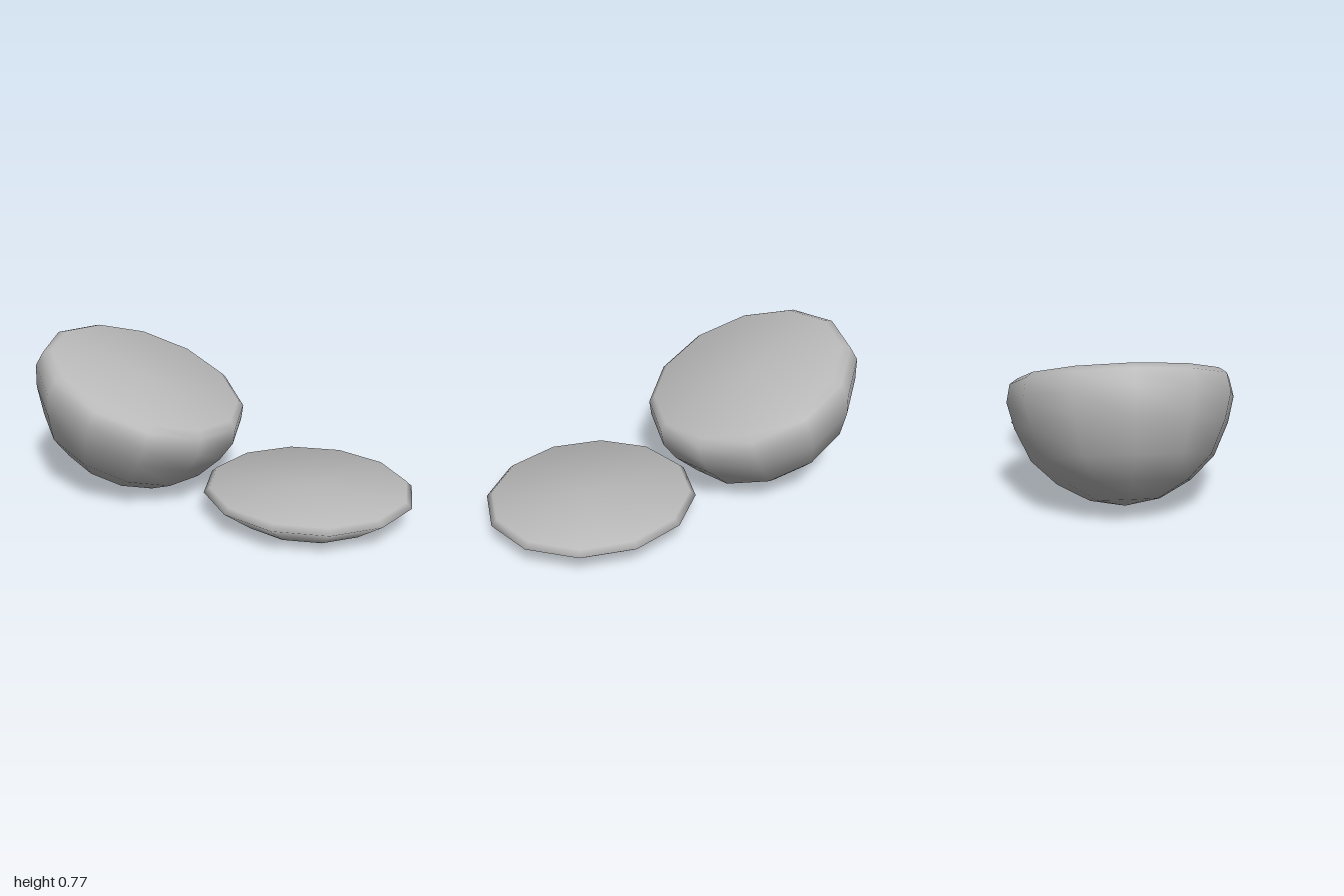
import * as THREE from 'three';

const SIDES = 12;
const DEPTH = 0.943; // both bodies are slightly narrower along z

// Closed turned body, with soft normals that roll evenly over the rim.
// Profile runs from bottom centre to top centre.
function turned(profile) {
  const pts = profile.map(([r, y]) => new THREE.Vector2(r, y));
  const n = pts.length;
  const seg = [];
  for (let j = 0; j < n - 1; j++) {
    const d = pts[j + 1].clone().sub(pts[j]).normalize();
    seg.push(new THREE.Vector2(d.y, -d.x));
  }
  const soft = pts.map((p, j) => {
    if (j === 0) return new THREE.Vector2(0, -1);
    if (j === n - 1) return new THREE.Vector2(0, 1);
    return seg[j - 1].clone().add(seg[j]).normalize();
  });
  const geo = new THREE.LatheGeometry(pts, SIDES);
  const normal = geo.attributes.normal;
  for (let i = 0; i <= SIDES; i++) {
    const a = (i / SIDES) * Math.PI * 2;
    soft.forEach((s, j) => normal.setXYZ(i * n + j, s.x * Math.sin(a), s.y, s.x * Math.cos(a)));
  }
  return geo.scale(1, 1, DEPTH);
}

export function createModel() {
  const model = new THREE.Group();
  const grey = new THREE.MeshStandardMaterial({ color: 0xb8b8b8 });
  grey.name = 'plain grey';

  // Deep rounded half, tipped over to the side
  const dome = new THREE.Mesh(turned([
    [0, -0.598], [0.171, -0.57], [0.328, -0.49], [0.449, -0.382],
    [0.526, -0.23], [0.56, -0.11], [0.543, -0.026], [0.505, 0], [0, 0],
  ]), grey);
  dome.name = 'tiltedHalfDome';
  dome.position.set(-0.4275, 0.597, 0);
  dome.rotation.z = THREE.MathUtils.degToRad(-20.3);
  model.add(dome);

  // Shallow slice lying flat
  const slice = new THREE.Mesh(turned([
    [0, 0.003], [0.366, 0.008], [0.529, 0.126], [0.5, 0.153], [0, 0.153],
  ]), grey);
  slice.name = 'shallowSlice';
  slice.position.x = 0.471;
  model.add(slice);

  return model;
}
